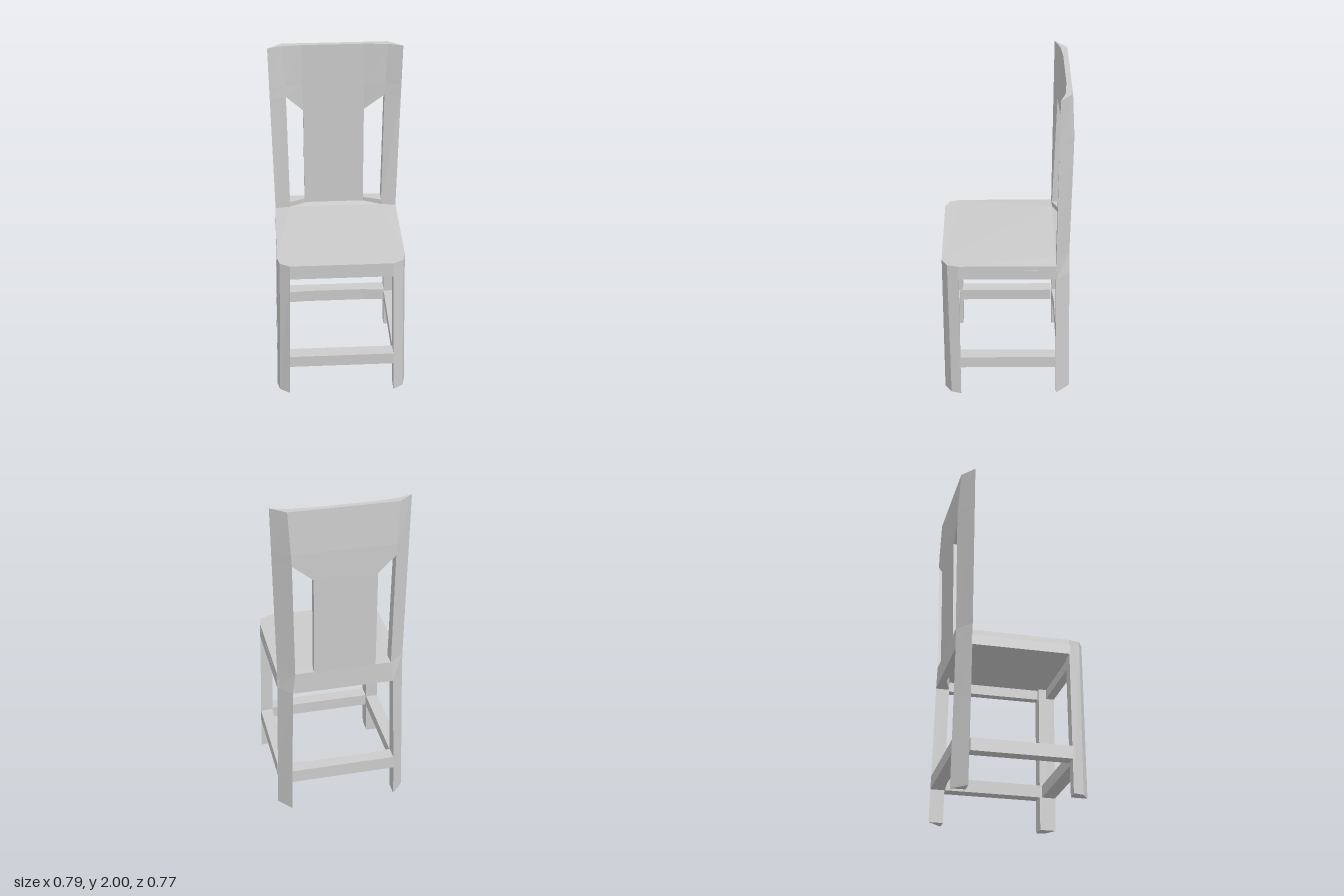
import * as THREE from 'three';

const material = new THREE.MeshStandardMaterial({ color: 0xcccccc, flatShading: true });

// Collects flat faces, corners counter-clockwise seen from outside.
function faceList() {
  const pos = [];
  return {
    tri: (a, b, c) => pos.push(...a, ...b, ...c),
    quad: (a, b, c, d) => pos.push(...a, ...b, ...c, ...a, ...c, ...d),
    mesh(name) {
      const g = new THREE.BufferGeometry();
      g.setAttribute('position', new THREE.Float32BufferAttribute(pos, 3));
      g.computeVertexNormals();
      const m = new THREE.Mesh(g, material);
      m.name = name;
      return m;
    },
  };
}

// Solid between two outlines of [x, y, z] points with equal counts.
function prism(name, bottom, top) {
  const flat = (pts) => pts.map(([x, , z]) => new THREE.Vector2(x, -z));
  if (THREE.ShapeUtils.area(flat(bottom)) < 0) {
    bottom = [...bottom].reverse();
    top = [...top].reverse();
  }
  const f = faceList();
  bottom.forEach((p, i) => {
    const j = (i + 1) % bottom.length;
    f.quad(p, bottom[j], top[j], top[i]);
  });
  const contour = flat(top);
  for (const [a, b, c] of THREE.ShapeUtils.triangulateShape(contour, [])) {
    const up = contour[b].clone().sub(contour[a]).cross(contour[c].clone().sub(contour[a])) > 0;
    const [p, q, r] = up ? [a, b, c] : [a, c, b];
    f.tri(top[p], top[q], top[r]);
    f.tri(bottom[p], bottom[r], bottom[q]);
  }
  return f.mesh(name);
}

const at = (y, pts, side = 1) => pts.map(([x, z]) => [x * side, y, z]);

// Outer half-width of the splayed frame at height y.
const halfWidth = (y) => (y < 0.93 ? 0.395 - 0.02 * y / 0.93 : 0.375 + 0.02 * (y - 0.93) / 1.07);

// Back legs, back rails and pierced curved backrest as one grid of cells.
function backFrame() {
  // y, post inner x, front z at edge, post and splat, back z at post and splat
  const rows = [
    [0.00, 0.320, -0.300, -0.300, -0.300, -0.385],
    [0.20, 0.317, -0.296, -0.296, -0.305, -0.380],
    [0.28, 0.315, -0.294, -0.294, -0.305, -0.378],
    [0.84, 0.300, -0.284, -0.285, -0.323, -0.365],
    [0.97, 0.284, -0.283, -0.284, -0.323, -0.362],
    [1.68, 0.293, -0.283, -0.303, -0.323, -0.368],
    [1.75, 0.297, -0.283, -0.305, -0.323, -0.367],
    [2.00, 0.310, -0.283, -0.312, -0.323, -0.352],
  ];
  // Filled columns in each band between rows
  const filled = ['10001', '11111', '10001', '11111', '10101', '11111', '11111'];
  const F = [], B = [];
  for (const [y, post, zEdge, zPost, zSplat, zBack] of rows) {
    const w = halfWidth(y);
    const ySplat = y === 1.68 ? 1.58 : y; // slanted slot tops
    const xs = [-w, -post, -0.192, 0.173, post, w];
    const ys = [y, y, ySplat, ySplat, y, y];
    const zf = [zEdge, zPost, zSplat, zSplat, zPost, zEdge];
    F.push(xs.map((x, i) => [x, ys[i], zf[i]]));
    B.push(xs.map((x, i) => [x, ys[i], i % 5 ? zBack : zEdge]));
  }
  const f = faceList();
  const solid = (r, c) => filled[r]?.[c] === '1';
  for (let r = 0; r < filled.length; r++) {
    for (let c = 0; c < 5; c++) {
      if (!solid(r, c)) continue;
      const R = r + 1, C = c + 1;
      f.quad(F[r][c], F[r][C], F[R][C], F[R][c]);
      f.quad(B[r][C], B[r][c], B[R][c], B[R][C]);
      if (!solid(R, c)) f.quad(F[R][c], F[R][C], B[R][C], B[R][c]);
      if (!solid(r - 1, c)) f.quad(B[r][c], B[r][C], F[r][C], F[r][c]);
      if (c < 4 && !solid(r, C)) f.quad(F[r][C], B[r][C], B[R][C], F[R][C]);
      if (c > 0 && !solid(r, c - 1)) f.quad(B[r][c], F[r][c], F[R][c], B[R][c]);
    }
  }
  return f.mesh('backFrame');
}

// Seat board, crowned towards the back and fitted to the backrest.
function seat() {
  const half = [
    [0.30, 0.93, 0.383], [0.36, 0.93, 0.35], [0.375, 0.93, 0.285],
    [0.375, 0.93, -0.283], [0.285, 0.937, -0.284], [0.18, 0.945, -0.323],
  ];
  const top = [...half, ...half.map(([x, y, z]) => [-x, y, z]).reverse()];
  return prism('seat', top.map(([x, , z]) => [x, 0.9, z]), top);
}

// Rail across the front.
function frontRail(name, y0, y1, x0, x1, depth) {
  const rect = (x) => [[-x, 0.383 - depth], [x, 0.383 - depth], [x, 0.383], [-x, 0.383]];
  return prism(name, at(y0, rect(x0)), at(y1, rect(x1)));
}

// Rail from front leg to back leg, flush with the splayed outside.
function sideRail(name, y0, y1, depth, side) {
  const rect = (y) => {
    const w = halfWidth(y);
    return [[w - depth, 0.29], [w, 0.29], [w, -0.29], [w - depth, -0.29]];
  };
  return prism(name, at(y0, rect(y0), side), at(y1, rect(y1), side));
}

export function createModel() {
  const chair = new THREE.Group();
  chair.name = 'chair';
  chair.add(backFrame(), seat());
  chair.add(frontRail('frontApron', 0.84, 0.9, 0.302, 0.3, 0.05));
  chair.add(frontRail('frontStretcher', 0.2, 0.275, 0.317, 0.315, 0.08));

  const foot = [[0.32, 0.29], [0.395, 0.285], [0.38, 0.345], [0.32, 0.385]];
  const legTop = [[0.30, 0.285], [0.375, 0.285], [0.36, 0.35], [0.30, 0.383]];
  for (const [label, side] of [['left', 1], ['right', -1]]) {
    chair.add(prism(label + 'FrontLeg', at(0, foot, side), at(0.9, legTop, side)));
    chair.add(sideRail(label + 'Apron', 0.84, 0.9, 0.05, side));
    chair.add(sideRail(label + 'Stretcher', 0.2, 0.275, 0.075, side));
  }
  return chair;
}
